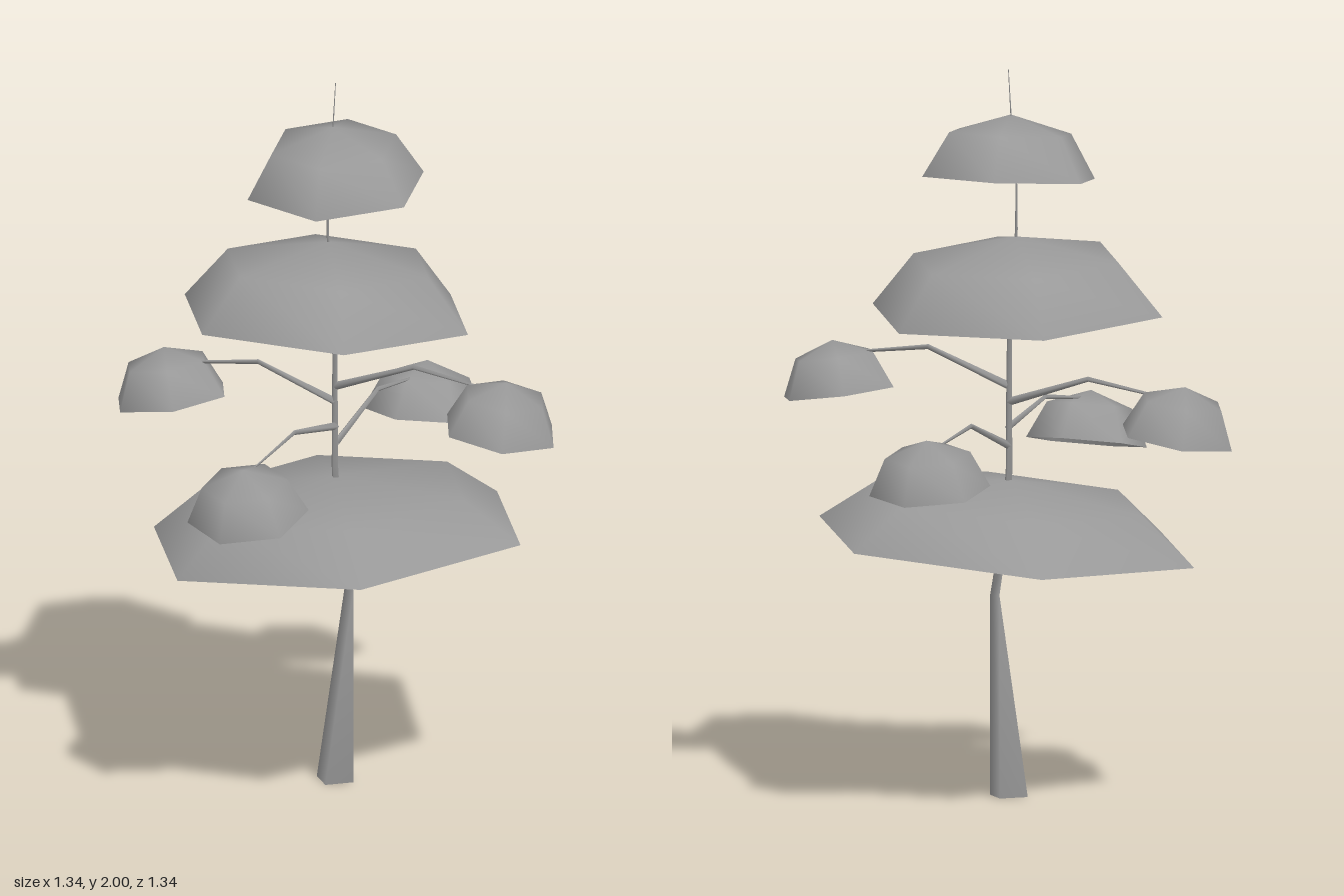
import * as THREE from 'three';
import { mergeVertices } from 'three/addons/utils/BufferGeometryUtils.js';

const material = new THREE.MeshStandardMaterial({ color: 0x999999, side: THREE.DoubleSide });
const UP = new THREE.Vector3(0, 1, 0);

// Weld all seams so the shading runs smoothly over the whole part
function smooth(geometry) {
  geometry.deleteAttribute('normal');
  geometry.deleteAttribute('uv');
  const welded = mergeVertices(geometry);
  welded.computeVertexNormals();
  return welded;
}

// Open six-sided dome: centre of the rim, radius, height, yaw, then tilt about x and z
function dome(name, [x, y, z], radius, height, yaw, tiltX, tiltZ) {
  const geometry = new THREE.SphereGeometry(1, 6, 2, 0, Math.PI * 2, 0, Math.PI / 2);
  geometry.scale(radius, height, radius).rotateY(yaw);
  const mesh = new THREE.Mesh(smooth(geometry), material);
  mesh.name = name;
  mesh.position.set(x, y, z);
  mesh.rotation.set(tiltX, 0, tiltZ);
  return mesh;
}

// Tapering four-sided limb: an open cylinder whose rings are moved onto stations [x, y, z, radius]
function limb(name, stations, levelRings = false) {
  const rows = stations.length - 1;
  const points = stations.map(([x, y, z]) => new THREE.Vector3(x, y, z));
  const turns = points.map((p, i) => {
    const tangent = points[Math.min(i + 1, rows)].clone().sub(points[Math.max(i - 1, 0)]).normalize();
    return new THREE.Quaternion().setFromUnitVectors(UP, levelRings ? UP : tangent);
  });
  const geometry = new THREE.CylinderGeometry(1, 1, 1, 4, rows, true);
  const position = geometry.attributes.position;
  const v = new THREE.Vector3();
  for (let i = 0; i < position.count; i++) {
    v.fromBufferAttribute(position, i);
    const row = Math.round((v.y + 0.5) * rows);
    v.setY(0).multiplyScalar(stations[row][3]).applyQuaternion(turns[row]).add(points[row]);
    position.setXYZ(i, v.x, v.y, v.z);
  }
  const mesh = new THREE.Mesh(smooth(geometry), material);
  mesh.name = name;
  return mesh;
}

export function createModel() {
  const tree = new THREE.Group();
  tree.name = 'tree';
  const axisZ = 0.005;

  // Crooked trunk running up to a thin tip
  tree.add(limb('trunk', [
    [-0.005, 0, axisZ, 0.057],
    [0.037, 0.55, axisZ, 0.014],
    [0.002, 0.76, axisZ, 0.012],
    [-0.006, 0.9, axisZ, 0.01],
    [-0.006, 1.2, axisZ, 0.008],
    [-0.01, 1.36, axisZ, 0.006],
    [-0.028, 1.56, axisZ, 0.004],
    [-0.028, 1.68, axisZ, 0.003],
    [-0.012, 1.87, axisZ, 0.002],
    [-0.004, 2, axisZ, 0.001],
  ], true));

  // Three broad canopy layers
  tree.add(
    dome('lowerCanopy', [0, 0.699, 0.003], 0.545, 0.172, 0.087, 0, 0.083),
    dome('middleCanopy', [-0.025, 1.336, 0.019], 0.421, 0.206, 0.08, -0.066, 0),
    dome('topCanopy', [-0.007, 1.703, -0.001], 0.252, 0.173, -0.25, 0.087, 0),
  );

  // Four side branches, each carrying a small drooping leaf cluster
  const sides = [
    // name, direction x/z, start y, bend y, end y, rim y, droop
    ['left', 1, 0, 1.13, 1.222, 1.19, 1.081, 0.138],
    ['right', -1, 0, 1.085, 1.162, 1.12, 1.017, 0.165],
    ['front', 0, 1, 1.015, 1.067, 1.03, 0.906, 0.2],
    ['back', 0, -1, 0.965, 1.05, 1.015, 0.907, 0.148],
  ];
  for (const [side, dx, dz, y0, y1, y2, rimY, droop] of sides) {
    tree.add(limb(side + 'Branch', [
      [-0.004, y0, axisZ, 0.011],
      [dx * 0.24 - 0.003, y1, dz * 0.24 + axisZ, 0.007],
      [dx * 0.5 - 0.003, y2, dz * 0.5 + axisZ, 0.003],
    ]));
    tree.add(dome(side + 'LeafCluster', [dx * 0.508 - 0.003, rimY, dz * 0.508 + axisZ], 0.166, 0.143,
      dz ? Math.PI / 2 : 0, dz * droop, -dx * droop));
  }

  return tree;
}
